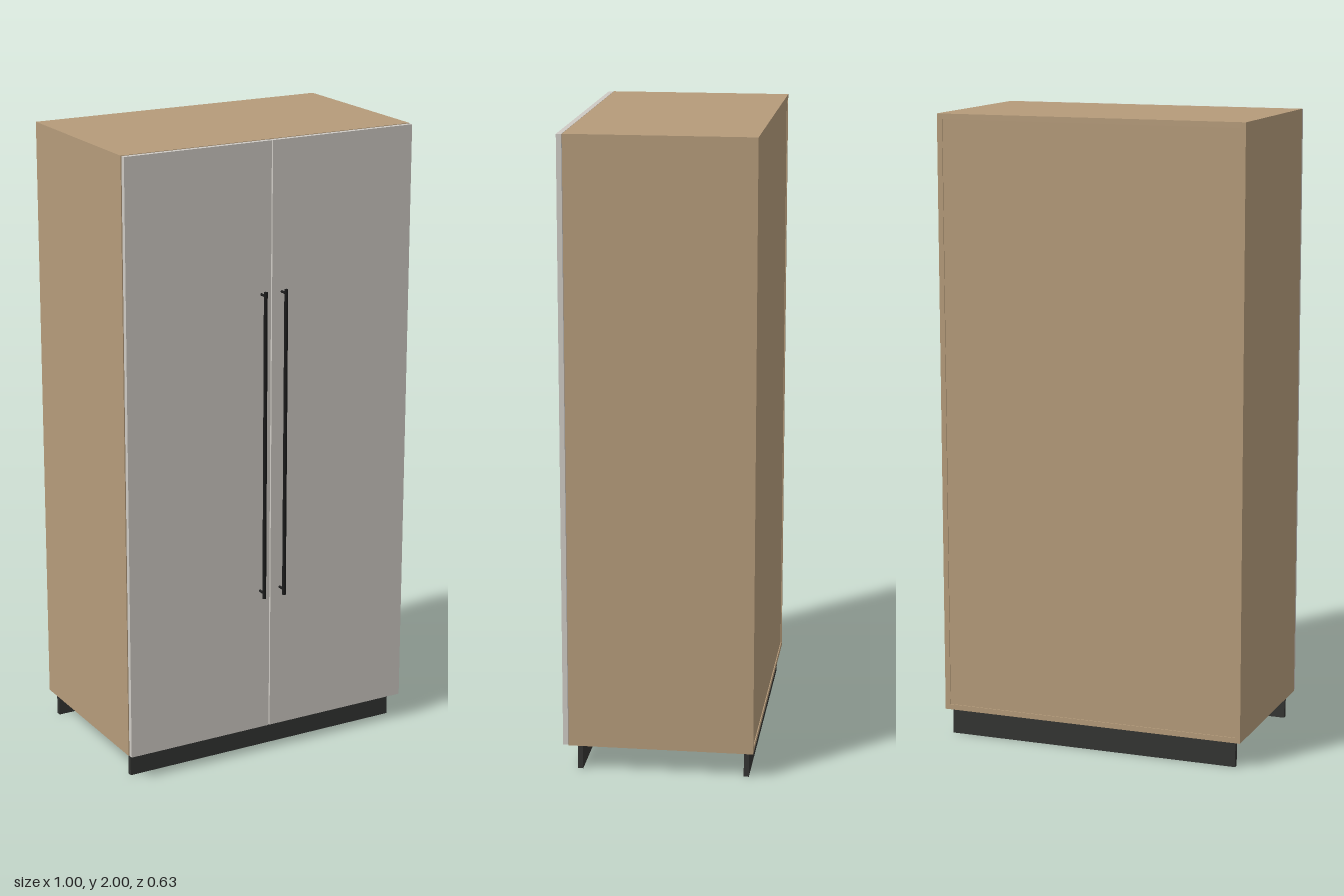
import * as THREE from 'three';

export function createModel() {
  const group = new THREE.Group();
  group.name = 'wardrobe';
  const mat = (color) => new THREE.MeshStandardMaterial({ color });
  const wood = mat(0xb59b7a);
  const doorPaint = mat(0xcecac4);
  const plinthPaint = mat(0x333432);
  const black = mat(0x1a1a1a);

  // Box given by its min and max corners
  function box(name, material, [x0, y0, z0], [x1, y1, z1], parent = group) {
    const mesh = new THREE.Mesh(new THREE.BoxGeometry(x1 - x0, y1 - y0, z1 - z0), material);
    mesh.position.set((x0 + x1) / 2, (y0 + y1) / 2, (z0 + z1) / 2);
    mesh.name = name;
    parent.add(mesh);
  }

  function rod(name, radius, length, x, y, z, parent, alongZ = false) {
    const mesh = new THREE.Mesh(new THREE.CylinderGeometry(radius, radius, length, 16), black);
    if (alongZ) mesh.rotation.x = Math.PI / 2;
    mesh.position.set(x, y, z);
    mesh.name = name;
    parent.add(mesh);
  }

  const base = 0.083, top = 2, back = -0.315, front = 0.264, t = 0.017;

  // Carcass panels, with the back panel set slightly in
  box('topPanel', wood, [-0.5 + t, top - t, back], [0.5 - t, top, front]);
  box('bottomPanel', wood, [-0.5 + t, base, back], [0.5 - t, base + t, front]);
  box('backPanel', wood, [-0.5 + t, base + t, back + 0.003], [0.5 - t, top - t, back + 0.013]);

  for (const s of [1, -1]) {
    const side = s > 0 ? 'left' : 'right';
    const span = (a, b) => (s > 0 ? [a, b] : [-b, -a]);

    const [p0, p1] = span(0.5 - t, 0.5);
    box(side + 'SidePanel', wood, [p0, base, back], [p1, top, front]);

    // Door with a narrow gap at the centre
    const [d0, d1] = span(0.002, 0.498);
    box(side + 'Door', doorPaint, [d0, base + 0.001, front + 0.002], [d1, top - 0.001, 0.282]);

    // Long bar handle on two standoffs
    const handle = new THREE.Group();
    handle.name = side + 'Handle';
    rod('bar', 0.006, 1, s * 0.036, 1.04, 0.309, handle);
    for (const y of [0.557, 1.527]) rod('standoff', 0.004, 0.027, s * 0.036, y, 0.2955, handle, true);
    group.add(handle);
  }

  // Plinth boards under the front and back
  box('frontPlinth', plinthPaint, [-0.48, 0, 0.222], [0.48, base, 0.238]);
  box('backPlinth', plinthPaint, [-0.48, 0, -0.3], [0.48, base, -0.284]);

  return group;
}
